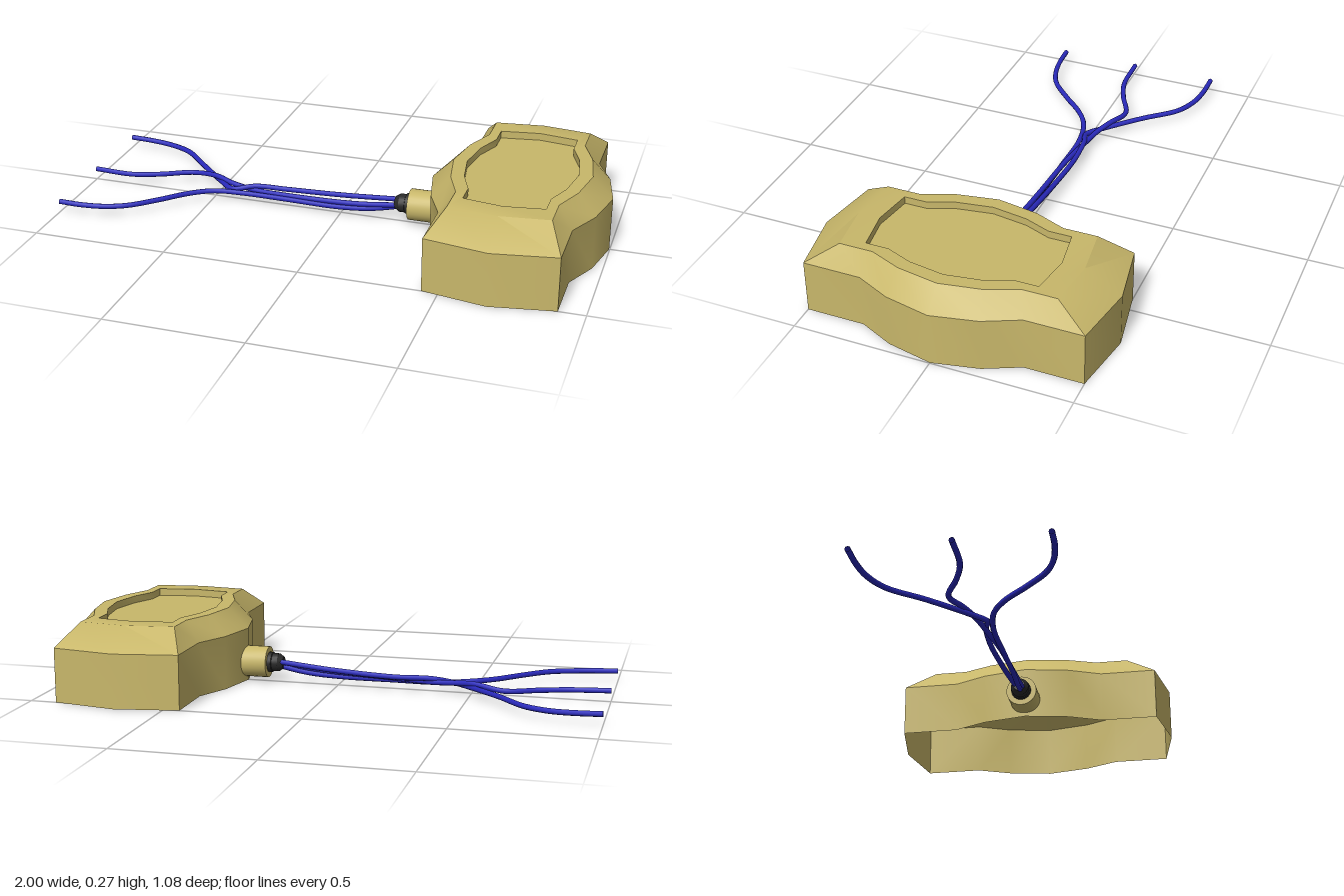
import * as THREE from 'three';
import { toCreasedNormals } from 'three/addons/utils/BufferGeometryUtils.js';

const material = (color) => new THREE.MeshStandardMaterial({ color, side: THREE.DoubleSide });

// Closed outline from one quarter of (x, z) points, mirrored both ways
function outline(quarter, y) {
  const half = [
    ...quarter.map(([x, z]) => [x, -z]),
    ...quarter.slice(0, -1).reverse(),
  ];
  const other = half.slice(1, -1).reverse().map(([x, z]) => [-x, z]);
  return [...half, ...other].map(([x, z]) => [x, y, z]);
}

// Skin through successive rings, closed by a fan in the last one
function loft(rings) {
  const position = [];
  const n = rings[0].length;
  for (let r = 0; r < rings.length; r++) {
    for (let i = 0; i < n; i++) {
      const j = (i + 1) % n;
      const a = rings[r][i], d = rings[r][j];
      if (r < rings.length - 1) {
        const b = rings[r + 1][i], c = rings[r + 1][j];
        position.push(...a, ...b, ...c, ...a, ...c, ...d);
      } else {
        position.push(...a, 0, a[1], 0, ...d);
      }
    }
  }
  const geometry = new THREE.BufferGeometry();
  geometry.setAttribute('position', new THREE.Float32BufferAttribute(position, 3));
  return toCreasedNormals(geometry, THREE.MathUtils.degToRad(32));
}

// Turned part along x; profile points are (radius, x)
function turned(profile, segments) {
  const points = profile.map(([r, x]) => new THREE.Vector2(r, x));
  const geometry = new THREE.LatheGeometry(points, segments);
  geometry.rotateZ(-Math.PI / 2);
  return toCreasedNormals(geometry, THREE.MathUtils.degToRad(32));
}

export function createModel() {
  const model = new THREE.Group();
  const olive = material(0xc8b76a);
  const black = material(0x2a2a2a);
  const blue = material(0x2a2abc);

  const add = (name, geometry, mat, x = 0, y = 0, z = 0) => {
    const mesh = new THREE.Mesh(geometry, mat);
    mesh.name = name;
    mesh.position.set(x, y, z);
    model.add(mesh);
  };

  // Housing: shell open below, with bevelled shoulder and recessed top panel
  const base = [[0, 0.54], [0.232, 0.5], [0.232, 0.29], [0.29, 0.165], [0.325, 0]];
  const rim = [[0, 0.41], [0.178, 0.387], [0.178, 0.265], [0.224, 0.15], [0.25, 0]];
  const panel = [[0, 0.33], [0.143, 0.308], [0.143, 0.225], [0.18, 0.13], [0.2, 0]];
  add('housing', loft([
    outline(base, 0),
    outline(base, 0.197),
    outline(rim, 0.272),
    outline(panel, 0.272),
    outline(panel, 0.245),
  ]), olive, 0.673);

  // Cable socket: hollow sleeve through the housing wall
  add('cableSocket', turned([
    [0.045, 0.375], [0.058, 0.375], [0.058, 0.266], [0.03, 0.266], [0.045, 0.28], [0.045, 0.375],
  ].reverse(), 24), olive, 0, 0.073, 0);

  // Strain relief with a tapered tip
  add('strainRelief', turned([
    [0, 0.21], [0.022, 0.21], [0.034, 0.228], [0.034, 0.25], [0.038, 0.252], [0.038, 0.28], [0, 0.28],
  ], 16), black, 0, 0.073, 0);

  // Three wires leaving together and fanning out
  const wires = {
    backWire: [
      [0.24, 0.08, -0.015], [0, 0.06, -0.025], [-0.22, 0.05, -0.03], [-0.35, 0.05, -0.02],
      [-0.43, 0.036, 0], [-0.5, 0.036, -0.055], [-0.62, 0.038, -0.17], [-0.73, 0.036, -0.28],
      [-0.82, 0.036, -0.32], [-0.9, 0.038, -0.333], [-1, 0.041, -0.335],
    ],
    middleWire: [
      [0.24, 0.07, 0.012], [0.1, 0.053, 0.012], [0, 0.046, 0.01], [-0.2, 0.04, 0.002],
      [-0.35, 0.036, -0.016], [-0.45, 0.043, -0.037], [-0.52, 0.05, -0.065], [-0.63, 0.038, -0.092],
      [-0.75, 0.036, -0.04], [-0.85, 0.036, -0.008], [-1, 0.041, -0.003],
    ],
    frontWire: [
      [0.24, 0.062, 0.002], [0.12, 0.038, 0.01], [0, 0.029, 0.015], [-0.2, 0.029, 0.012],
      [-0.38, 0.03, 0.012], [-0.49, 0.035, 0.035], [-0.57, 0.036, 0.085], [-0.66, 0.036, 0.175],
      [-0.75, 0.036, 0.255], [-0.83, 0.036, 0.29], [-0.92, 0.038, 0.306], [-1, 0.041, 0.309],
    ],
  };
  for (const [name, points] of Object.entries(wires)) {
    const curve = new THREE.CatmullRomCurve3(points.map((p) => new THREE.Vector3(...p)));
    add(name, new THREE.TubeGeometry(curve, 60, 0.01, 8), blue);
  }

  return model;
}
